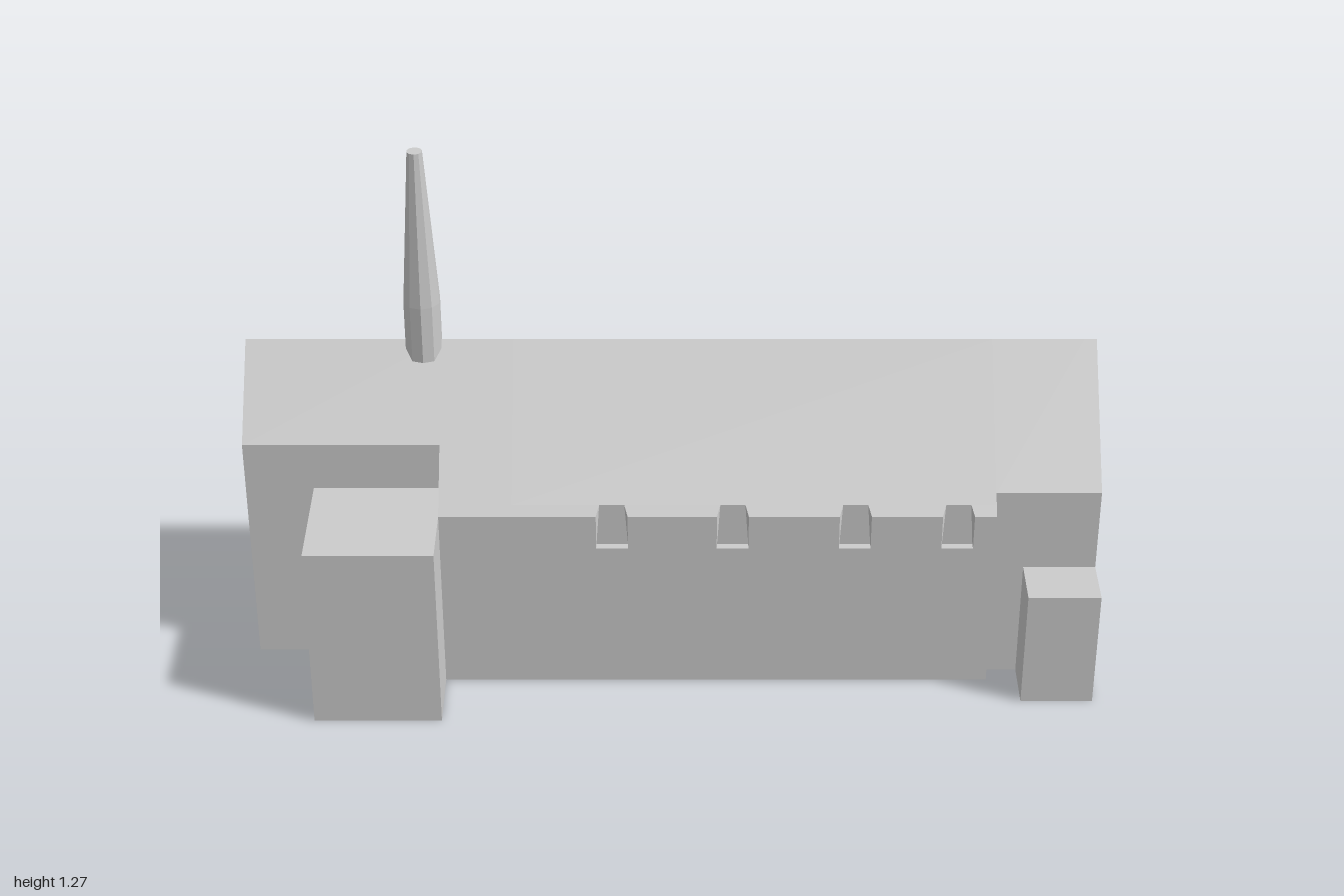
import * as THREE from 'three';

const RIDGE_Z = 0.02, RIDGE_Y = 0.773, EAVE_Y = 0.473;
const stone = new THREE.MeshStandardMaterial({ color: 0xcccccc });
stone.name = 'pale grey stone';

// Height of the 45 degree roof at a given depth
const roofY = (z) => RIDGE_Y - Math.abs(z - RIDGE_Z);

function faceted(geometry) {
  const g = geometry.index ? geometry.toNonIndexed() : geometry;
  g.computeVertexNormals();
  return g;
}

function add(group, name, geometry) {
  const mesh = new THREE.Mesh(faceted(geometry), stone);
  mesh.name = name;
  group.add(mesh);
}

// Extrudes a [z, y] outline along x
function alongX(points, x0, x1, holes = []) {
  const vec = ([z, y]) => new THREE.Vector2(-z, y);
  const shape = new THREE.Shape(points.map(vec));
  holes.forEach((h) => shape.holes.push(new THREE.Path(h.map(vec))));
  return new THREE.ExtrudeGeometry(shape, { depth: x1 - x0, bevelEnabled: false })
    .rotateY(Math.PI / 2)
    .translate(x0, 0, 0);
}

function box(x0, x1, y1, z0, z1) {
  return new THREE.BoxGeometry(x1 - x0, y1, z1 - z0)
    .translate((x0 + x1) / 2, y1 / 2, (z0 + z1) / 2);
}

// Gabled outline from the back wall to the front wall
const gable = (back, front) => [
  [front, 0], [front, roofY(front)], [RIDGE_Z, RIDGE_Y], [back, roofY(back)], [back, 0],
];

// Pointed opening outline
const pointed = (z, half, sill, shoulder, peak) => [
  [z + half, sill], [z + half, shoulder], [z, peak], [z - half, shoulder], [z - half, sill],
];

const WINDOW_X = [-0.138, 0.143, 0.428, 0.667];
const HALF = 0.037;

// Outer layer of a side wall, with windows cutting through the eaves
function windowWall(x0, x1, outerZ, innerZ) {
  const pts = [[x0, 0], [x0, EAVE_Y]];
  WINDOW_X.forEach((c) => pts.push(
    [c - HALF, EAVE_Y], [c - HALF, 0.383], [c + HALF, 0.383], [c + HALF, EAVE_Y]));
  pts.push([x1, EAVE_Y], [x1, 0]);
  const shape = new THREE.Shape(pts.map(([x, y]) => new THREE.Vector2(x, y)));
  const g = new THREE.ExtrudeGeometry(shape, { depth: Math.abs(outerZ - innerZ), bevelEnabled: false })
    .translate(0, 0, Math.min(outerZ, innerZ));
  const p = g.attributes.position;
  // Raise the inner top edge to the roof and draw the window heads together
  for (let i = 0; i < p.count; i++) {
    if (Math.abs(p.getZ(i) - innerZ) > 1e-4 || Math.abs(p.getY(i) - EAVE_Y) > 1e-4) continue;
    p.setY(i, roofY(innerZ));
    const c = WINDOW_X.find((w) => Math.abs(p.getX(i) - w) < HALF + 0.001);
    if (c !== undefined) p.setX(i, p.getX(i) + Math.sign(c - p.getX(i)) * 0.008);
  }
  return g;
}

export function createModel() {
  const church = new THREE.Group();
  church.name = 'church';

  // Main body, from the narrow end to the nave and the far gable
  add(church, 'narrowEnd', alongX(gable(-0.14, 0.2), -1, -0.54));
  add(church, 'naveStart', alongX(gable(-0.14, 0.3), -0.54, -0.37));
  add(church, 'nave', alongX(gable(-0.25, 0.3), -0.37, 0.755));
  add(church, 'frontWindowWall', windowWall(-0.54, 0.755, 0.32, 0.3));
  add(church, 'backWindowWall', windowWall(-0.37, 0.755, -0.28, -0.25));
  add(church, 'gableBody', alongX(gable(-0.235, 0.28), 0.755, 0.97));

  // End wall with recessed windows and a doorway notched into its foot
  const windows = [
    pointed(0.161, 0.037, 0.3, 0.438, 0.473),
    pointed(0.023, 0.037, 0.392, 0.527, 0.56),
    pointed(-0.115, 0.037, 0.3, 0.438, 0.473),
  ];
  const door = pointed(0.023, 0.05, 0, 0.112, 0.162).reverse();
  add(church, 'gableWall', alongX([...gable(-0.235, 0.28), ...door], 0.97, 1, windows));

  // Flat-topped side blocks
  add(church, 'frontTower', box(-0.84, -0.54, 0.473, 0.2, 0.478));
  add(church, 'porch', box(0.83, 1, 0.302, 0.28, 0.403));

  // Back annex with a sloping outer roof
  const annex = (inner, outer) => {
    const edge = 0.375 - (-0.36 - outer) * 0.7;
    return [[inner, 0], [inner, 0.375], [-0.36, 0.375], [outer, edge], [outer, 0]];
  };
  add(church, 'annex', alongX(annex(-0.28, -0.48), -0.37, 0.097));
  add(church, 'smallAnnex', alongX(annex(-0.14, -0.407), -0.673, -0.37));

  // Spire: straight base and tapering top
  const spire = new THREE.Group();
  spire.name = 'spire';
  spire.position.set(-0.581, 0, RIDGE_Z + 0.002);
  add(spire, 'spireBase', new THREE.CylinderGeometry(0.044, 0.044, 0.145, 10).translate(0, 0.8075, 0));
  add(spire, 'spireTop', new THREE.CylinderGeometry(0.018, 0.044, 0.39, 10).translate(0, 1.075, 0));
  church.add(spire);

  return church;
}
